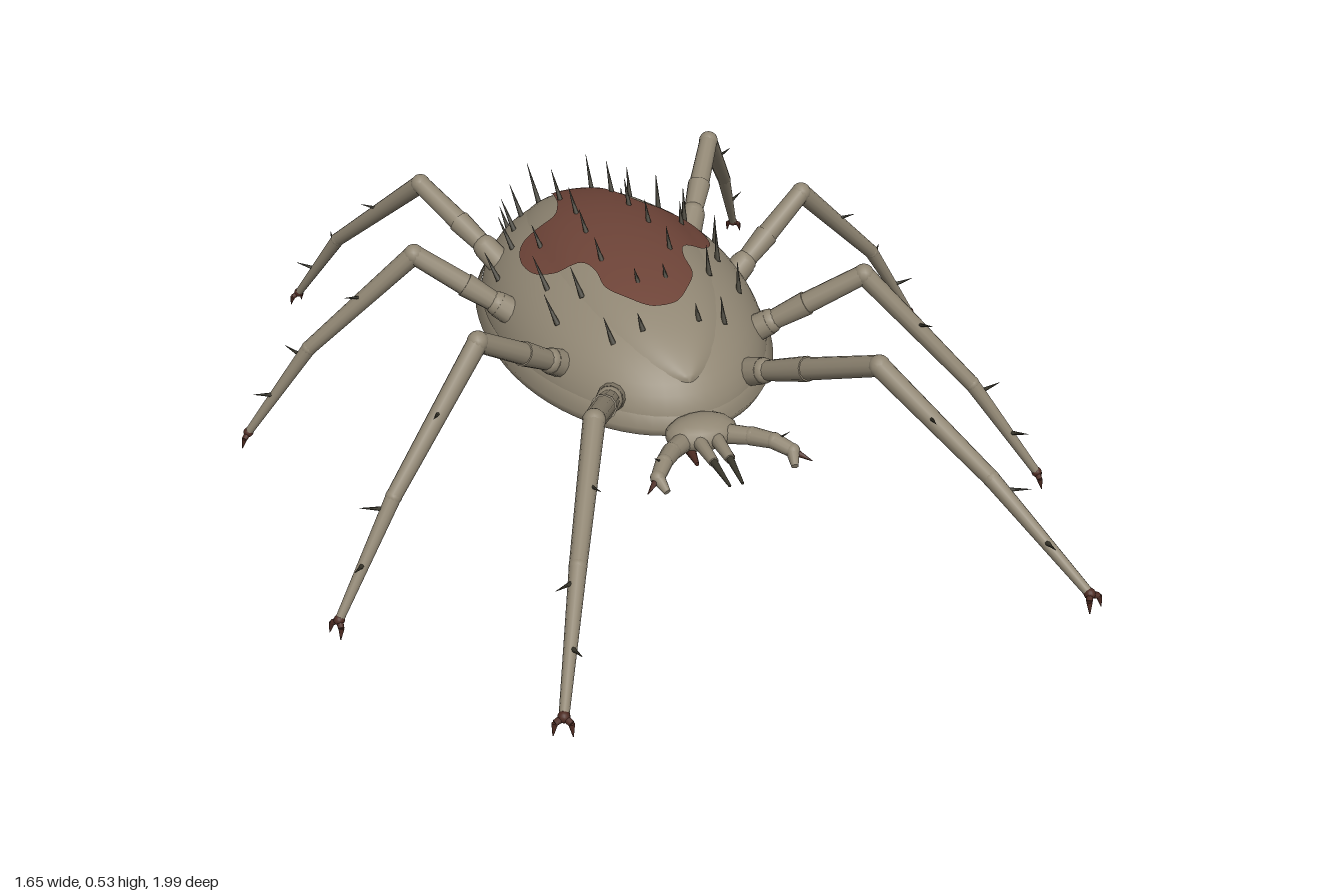
import * as THREE from 'three';

const material = (name, color, extra = {}) => {
  const m = new THREE.MeshStandardMaterial({ color, ...extra });
  m.name = name;
  return m;
};
const V = (x, y, z) => new THREE.Vector3(x, y, z);
const UP = V(0, 1, 0);
const CZ = -0.19; // body centre along z

// height of the smooth back, and the raised dorsal shield on it
const dome = (x, z) =>
  0.275 + 0.207 * Math.sqrt(Math.max(0, 1 - (x / 0.29) ** 2 - ((z - CZ) / 0.465) ** 2));
const shieldHalf = (z) => 0.165 * Math.pow(Math.max(0, 1 - ((z + 0.21) / 0.45) ** 2), 0.6);
const lift = (x, z) => {
  const s = shieldHalf(z);
  return Math.abs(x) < s ? 0.01 * (1 - (Math.abs(x) / s) ** 4) : 0;
};

// sheet lying on the back: rows are [half width, z], with z rising
function sheet(rows, cols, height) {
  const pos = [], index = [];
  rows.forEach(([w, z], i) => {
    for (let j = 0; j <= cols; j++) {
      const x = w * ((2 * j) / cols - 1);
      pos.push(x, height(x, z), z);
      if (i && j) {
        const d = i * (cols + 1) + j, c = d - 1, b = d - cols - 1, a = b - 1;
        index.push(a, c, b, b, c, d);
      }
    }
  });
  const g = new THREE.BufferGeometry();
  g.setAttribute('position', new THREE.Float32BufferAttribute(pos, 3));
  g.setIndex(index);
  g.computeVertexNormals();
  return g;
}

export function createModel() {
  const root = new THREE.Group();
  root.name = 'mite';
  const tan = material('tan shell', 0x918774);
  const red = material('red brown patch', 0x6e4438, { side: THREE.DoubleSide });
  const dark = material('dark bristle', 0x3a372c);
  const claw = material('claw brown', 0x4d2b22);

  const add = (parent, name, geo, mat) => {
    const m = new THREE.Mesh(geo, mat);
    m.name = name;
    parent.add(m);
    return m;
  };
  // tapered rod between two points
  const rod = (parent, name, a, b, r0, r1, mat, sides = 12) => {
    const d = b.clone().sub(a);
    const m = add(parent, name, new THREE.CylinderGeometry(r1, r0, d.length(), sides), mat);
    m.position.copy(a).addScaledVector(d, 0.5);
    m.quaternion.setFromUnitVectors(UP, d.normalize());
    return m;
  };
  const ball = (parent, name, p, r, mat) => {
    const m = add(parent, name, new THREE.SphereGeometry(r, 14, 10), mat);
    m.position.copy(p);
    return m;
  };
  const bristle = (parent, base, dir, len, r = 0.006) =>
    rod(parent, 'bristle', base, base.clone().addScaledVector(dir.clone().normalize(), len), r, 0.0004, dark, 6);

  // body: belly, thin rim and back as lathes squashed to an oval
  const body = new THREE.Group();
  body.name = 'body';
  root.add(body);
  const oval = (name, pts, sx, sz) => {
    const m = add(body, name, new THREE.LatheGeometry(pts.map((p) => new THREE.Vector2(...p)), 64), tan);
    m.scale.set(sx, 1, sz);
    m.position.z = CZ;
  };
  const quarter = Array.from({ length: 17 }, (_, i) => (i / 16) * Math.PI / 2);
  oval('belly', quarter.map((a) => [Math.sin(a), 0.272 - 0.084 * Math.cos(a)]), 0.29, 0.465);
  oval('rim', [[0.97, 0.255], [1, 0.278], [0.955, 0.305]], 0.302, 0.478);
  oval('back', quarter.map((a) => [Math.cos(a), 0.275 + 0.207 * Math.sin(a)]), 0.29, 0.465);

  // dorsal shield
  const shieldRows = Array.from({ length: 41 }, (_, i) => {
    const z = -0.21 - 0.45 * Math.cos((i / 40) * Math.PI);
    return [shieldHalf(z), z];
  });
  add(body, 'dorsalShield', sheet(shieldRows, 32, (x, z) => dome(x, z) + lift(x, z) - 0.001), tan);

  // cross-shaped red patch
  const outline = new THREE.SplineCurve([
    [0.0, -0.57], [0.04, -0.56], [0.058, -0.48], [0.075, -0.4], [0.105, -0.335], [0.165, -0.322],
    [0.195, -0.29], [0.208, -0.23], [0.198, -0.165], [0.165, -0.125], [0.115, -0.105],
    [0.098, -0.06], [0.095, 0.0], [0.06, 0.055], [0.03, 0.085], [0.0, 0.092],
  ].map((p) => new THREE.Vector2(...p)));
  const patchRows = outline.getPoints(90).map((p) => [Math.max(0, p.x), p.y]);
  add(body, 'redPatch', sheet(patchRows, 44, (x, z) => dome(x, z) + lift(x, z) + 0.004), red);

  // head
  const head = new THREE.Group();
  head.name = 'head';
  root.add(head);
  ball(head, 'headBase', V(0, 0.278, 0.305), 1, tan).scale.set(0.075, 0.034, 0.052);

  // back bristles as [x, z, length]
  const bristles = [
    [0.06, 0.13, 0.04], [0.03, 0.02, 0.04], [0.075, -0.08, 0.06], [0.07, -0.2, 0.06], [0.06, -0.3, 0.07],
    [0.06, -0.42, 0.08], [0.065, -0.58, 0.1], [0.13, -0.5, 0.08], [0.17, -0.42, 0.08], [0.2, -0.33, 0.08],
    [0.25, -0.27, 0.07], [0.14, -0.58, 0.06], [0.16, -0.24, 0.06], [0.19, -0.1, 0.08], [0.14, -0.02, 0.07],
    [0.2, 0.0, 0.07], [0.12, 0.12, 0.06],
  ];

  // legs: root, hip, knee, tarsus joint and tip
  const legs = [
    [[0.13, 0.3, 0.15], [0.165, 0.34, 0.225], [0.285, 0.483, 0.5], [0.4, 0.362, 0.755], [0.497, 0.228, 0.972]],
    [[0.17, 0.31, 0.04], [0.24, 0.36, 0.075], [0.41, 0.485, 0.16], [0.62, 0.245, 0.275], [0.758, 0.035, 0.346]],
    [[0.21, 0.32, -0.14], [0.28, 0.37, -0.17], [0.44, 0.485, -0.235], [0.665, 0.255, -0.32], [0.808, 0.035, -0.378]],
    [[0.19, 0.33, -0.31], [0.245, 0.39, -0.395], [0.345, 0.485, -0.56], [0.495, 0.24, -0.83], [0.58, 0.037, -0.972]],
  ];

  for (const s of [1, -1]) {
    const side = s > 0 ? 'left' : 'right';
    const P = ([x, y, z]) => V(s * x, y, z);

    for (const [x, z, len] of bristles)
      bristle(body, V(s * x, dome(x, z) + lift(x, z) - 0.004, z), V(s * x * 1.2, 0.85, -0.8), len, 0.0065);

    legs.forEach((pts, n) => {
      const leg = new THREE.Group();
      leg.name = `${side}Leg${n + 1}`;
      root.add(leg);
      const [base, hip, knee, joint, tip] = pts.map(P);
      const out = V(knee.x - hip.x, 0, knee.z - hip.z).normalize();
      const across = V(-out.z, 0, out.x);

      rod(leg, 'coxa', base, hip, 0.032, 0.028, tan);
      ball(leg, 'hipJoint', hip, 0.027, tan);
      const mid = hip.clone().lerp(knee, 0.4);
      rod(leg, 'trochanter', hip, mid, 0.021, 0.026, tan);
      rod(leg, 'femur', mid, knee, 0.023, 0.021, tan);
      ball(leg, 'knee', knee, 0.022, tan);
      rod(leg, 'tibia', knee, joint, 0.021, 0.016, tan);
      ball(leg, 'tarsusJoint', joint, 0.0165, tan);
      rod(leg, 'tarsus', joint, tip, 0.016, 0.009, tan);

      // leg bristles
      bristle(leg, knee.clone().lerp(joint, 0.45), out.clone().addScaledVector(across, s * 0.7).add(V(0, 0.3, 0)), 0.05);
      bristle(leg, joint.clone().lerp(tip, 0.1), out.clone().addScaledVector(across, -s * 0.7).add(V(0, 0.2, 0)), 0.055);
      bristle(leg, joint.clone().lerp(tip, 0.55), out.clone().addScaledVector(across, s * 0.6).add(V(0, 0.35, 0)), 0.05);

      // paired claws
      const along = tip.clone().sub(joint).normalize();
      ball(leg, 'foot', tip, 0.011, claw);
      for (const k of [1, -1]) {
        const bend = tip.clone().addScaledVector(along, 0.012).addScaledVector(across, k * 0.014);
        const end = bend.clone().addScaledVector(out, 0.006).add(V(0, -0.022, 0)).addScaledVector(across, k * 0.003);
        rod(leg, 'clawBase', tip, bend, 0.007, 0.006, claw, 8);
        rod(leg, 'clawTip', bend, end, 0.006, 0.001, claw, 8);
      }
    });

    // jointed palps
    const palp = new THREE.Group();
    palp.name = `${side}Palp`;
    head.add(palp);
    const path = [[0.045, 0.275, 0.325], [0.085, 0.285, 0.365], [0.115, 0.292, 0.405], [0.14, 0.285, 0.44]].map(P);
    for (let i = 0; i < 3; i++) {
      rod(palp, 'palpSegment', path[i], path[i + 1], 0.021 - i * 0.002, 0.018 - i * 0.002, tan);
      ball(palp, 'palpJoint', path[i + 1], 0.019 - i * 0.002, tan);
    }
    rod(palp, 'palpTip', path[3], P([0.132, 0.27, 0.472]), 0.014, 0.007, tan);
    rod(palp, 'palpClaw', path[3], P([0.17, 0.272, 0.468]), 0.009, 0.001, claw, 8);
    bristle(palp, path[2], V(s * 0.6, 0.6, 0.4), 0.04, 0.004);

    // mouth stylets
    rod(head, `${side}Chelicera`, V(s * 0.018, 0.28, 0.32), V(s * 0.017, 0.28, 0.42), 0.016, 0.01, tan);
    rod(head, `${side}Fang`, V(s * 0.017, 0.28, 0.42), V(s * 0.013, 0.272, 0.495), 0.008, 0.003, dark, 8);
    rod(head, `${side}MouthPlate`, V(s * 0.03, 0.255, 0.31), V(s * 0.038, 0.258, 0.385), 0.014, 0.004, claw, 8);
  }
  return root;
}
